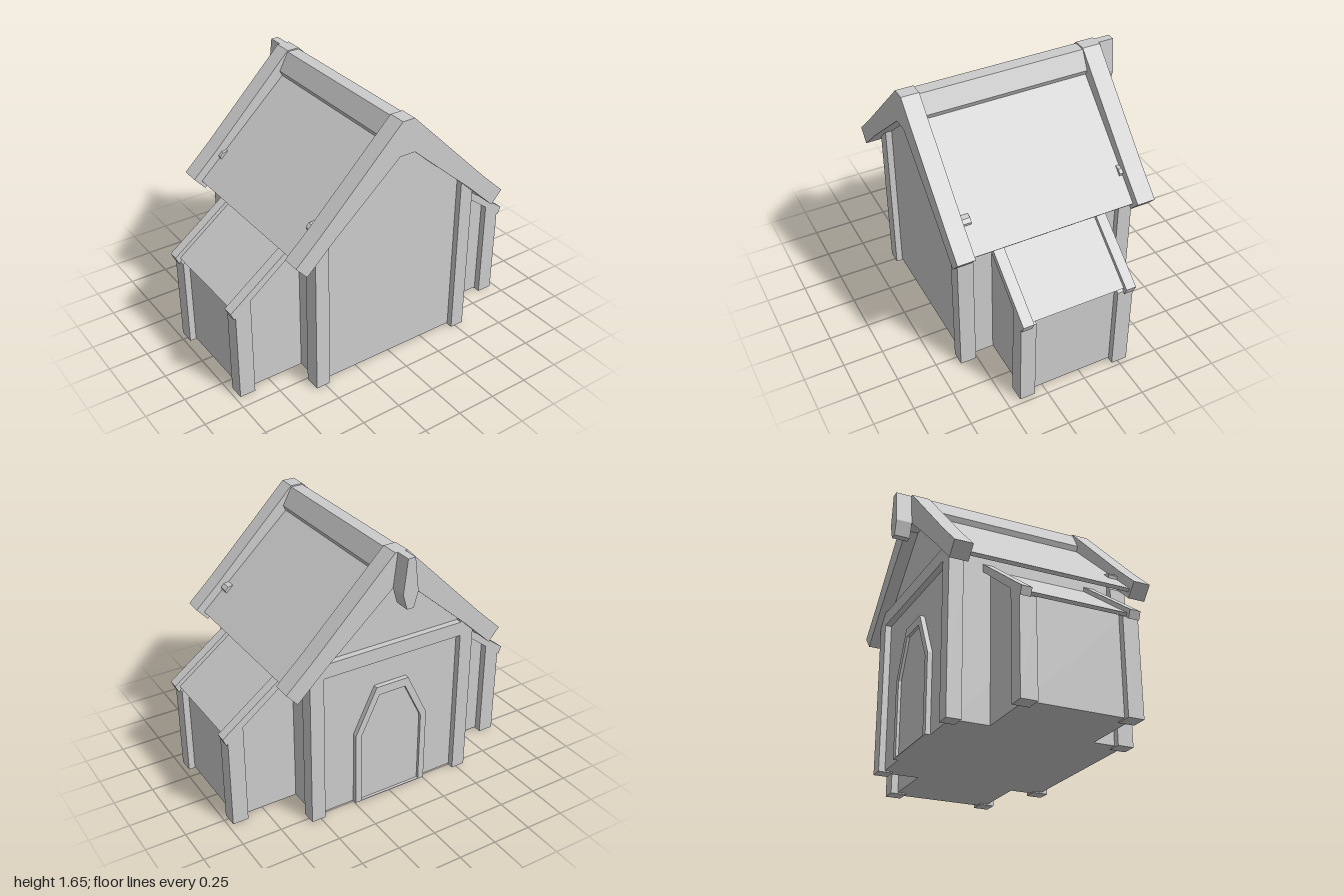
import * as THREE from 'three';

const material = new THREE.MeshStandardMaterial({ color: 0xcccccc, flatShading: true });

// Prism: outline in x/y, swept from z0 to z1
function prism(name, points, z0, z1, holePoints) {
  const toVectors = (list) => list.map(([x, y]) => new THREE.Vector2(x, y));
  const shape = new THREE.Shape(toVectors(points));
  if (holePoints) shape.holes.push(new THREE.Path(toVectors(holePoints)));
  const geometry = new THREE.ExtrudeGeometry(shape, { depth: z1 - z0, bevelEnabled: false });
  geometry.translate(0, 0, z0);
  const mesh = new THREE.Mesh(geometry, material);
  mesh.name = name;
  return mesh;
}

const flip = (points, side) => points.map(([x, y]) => [x * side, y]);

// Full outline from its right half, listed from the bottom up
const symmetric = (half) => [...half, ...flip(half, -1).reverse()];

export function createModel() {
  const model = new THREE.Group();
  model.name = 'house';
  const add = (...args) => model.add(prism(...args));

  // Main body, filled up to the underside of the roof
  add('mainWalls', symmetric([[0.52, 0.008], [0.52, 1.06], [0.06, 1.48]]), -0.5, 0.57);

  // Chevron boards on both gables
  const outer = [[0.73, 0.97], [0.57, 1.12], [0.04, 1.65]];
  const inner = [[0.05, 1.44], [0.47, 1.07], [0.66, 0.89]];
  const chevron = [...outer, ...flip(outer, -1).reverse(), ...flip(inner, -1).reverse(), ...inner];
  add('frontGableBoard', chevron, 0.57, 0.68);
  add('backGableBoard', chevron, -0.58, -0.465);

  // Ridge beam between the gable boards
  add('ridgeBeam', symmetric([[0.075, 1.48], [0.1, 1.53], [0.04, 1.642]]), -0.465, 0.57);

  // Hanging ornament behind the back gable
  add('ridgeOrnament', symmetric([[0.022, 1.345], [0.05, 1.44], [0.024, 1.65]]), -0.68, -0.58);

  // Beam across the back wall
  add('backBeam', symmetric([[0.5, 0.97], [0.5, 1.045], [0.48, 1.06]]), -0.54, -0.5);

  // Arched back door with its frame
  const doorOuter = symmetric([[0.25, 0.008], [0.25, 0.5], [0.11, 0.79]]);
  const doorInner = symmetric([[0.21, 0.008], [0.21, 0.49], [0.09, 0.735]]);
  const doorOpening = symmetric([[0.21, 0.012], [0.21, 0.49], [0.09, 0.735]]);
  add('doorFrame', doorOuter, -0.53, -0.5, doorOpening);
  add('door', doorInner, -0.512, -0.5);

  for (const side of [1, -1]) {
    // Main roof slope
    add('mainRoof', flip([[0.68, 0.945], [0.06, 1.519], [0.045, 1.504], [0.665, 0.928]], side), -0.465, 0.57);

    // Main corner posts, cut to the roof slope
    const post = flip([[0.47, 0], [0.56, 0], [0.56, 0.985], [0.47, 1.07]], side);
    add('frontPost', post, 0.51, 0.61);
    add('backPost', post, -0.54, -0.45);

    // Small roof pegs beside the gable boards
    for (const [z0, z1] of [[0.51, 0.57], [-0.465, -0.443]]) {
      add('roofPeg', flip([[0.51, 1.06], [0.545, 1.055], [0.555, 1.085], [0.535, 1.105], [0.5, 1.11]], side), z0, z1);
    }

    // Side wing body and roof slope
    add('wingWalls', flip([[0.5, 0.008], [0.93, 0.008], [0.93, 0.625], [0.5, 0.95]], side), -0.265, 0.375);
    add('wingRoof', flip([[0.97, 0.61], [0.5, 0.965], [0.5, 0.935], [0.955, 0.595]], side), -0.25, 0.35);

    // Wing gable boards and corner posts
    const board = flip([[1, 0.62], [0.5, 0.995], [0.5, 0.945], [0.87, 0.66], [0.98, 0.572]], side);
    const wingPost = flip([[0.87, 0], [0.97, 0], [0.97, 0.585], [0.87, 0.66]], side);
    add('wingFrontBoard', board, 0.35, 0.417);
    add('wingBackBoard', board, -0.311, -0.248);
    add('wingFrontPost', wingPost, 0.32, 0.417);
    add('wingBackPost', wingPost, -0.311, -0.21);
  }
  return model;
}
